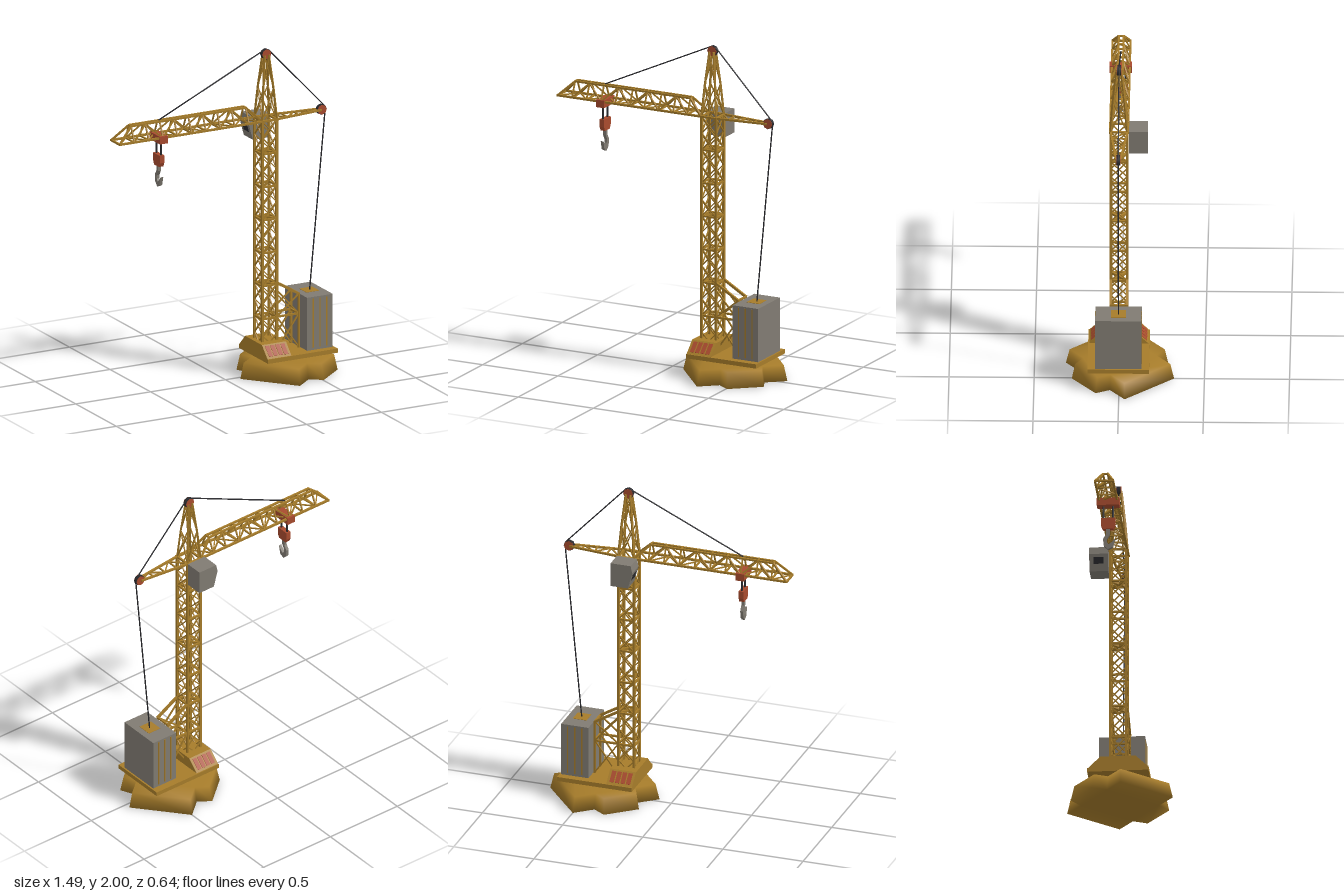
import * as THREE from 'three';
import { mergeGeometries, mergeVertices } from 'three/addons/utils/BufferGeometryUtils.js';

const flat = (name, color) => {
  const m = new THREE.MeshStandardMaterial({ color });
  m.name = name;
  return m;
};

export function createModel() {
  const yellow = flat('ochre paint', 0xa67c2a);
  const grey = flat('grey panel', 0x807b72);
  const red = flat('rust red', 0xa84b2e);
  const dark = flat('dark steel', 0x2a2a2e);
  const model = new THREE.Group();
  model.name = 'towerCrane';

  const V = (x, y, z) => new THREE.Vector3(x, y, z);
  const add = (name, mat, ...geos) => {
    const list = geos.flat().map(g => (g.index ? g.toNonIndexed() : g));
    const mesh = new THREE.Mesh(mergeGeometries(list), mat);
    mesh.name = name;
    model.add(mesh);
  };
  // square bar between two points
  const bar = (a, b, w = 0.008) => {
    const g = new THREE.BoxGeometry(w, w, a.distanceTo(b) + w * 0.5);
    const m = new THREE.Matrix4().lookAt(a, b, V(0, 1, 0));
    return g.applyMatrix4(m.setPosition(a.clone().add(b).multiplyScalar(0.5)));
  };
  const cross = (a, b, c, d, w) => [bar(a, c, w), bar(b, d, w)];
  // box given by its limits
  const box = (x0, x1, y0, y1, z0, z1) =>
    new THREE.BoxGeometry(x1 - x0, y1 - y0, z1 - z0)
      .translate((x0 + x1) / 2, (y0 + y1) / 2, (z0 + z1) / 2);
  const extrude = (pts, depth) => new THREE.ExtrudeGeometry(
    new THREE.Shape(pts.map(p => new THREE.Vector2(...p))),
    { depth, bevelEnabled: false });
  // profile of [z, y] points swept along x
  const prismX = (pts, x0, x1) =>
    extrude(pts.map(([z, y]) => [-z, y]), x1 - x0).rotateY(Math.PI / 2).translate(x0, 0, 0);
  const rod = (a, b, r = 0.004) =>
    new THREE.TubeGeometry(new THREE.LineCurve3(a, b), 1, r, 6);

  const cx = 0.266, cz = 0.004, h = 0.048;
  const zs = [cz - h, cz + h];

  // cross-shaped foot, tapering upward, with soft shading
  const half = [[0.276, -0.11], [0.276, 0.11], [0.188, 0.135], [0.188, 0.272], [-0.188, 0.272], [-0.188, 0.135]];
  let foot = extrude([...half, ...half.map(([a, b]) => [-a, -b])], 0.095).rotateX(-Math.PI / 2);
  const fp = foot.attributes.position;
  for (let i = 0; i < fp.count; i++) {
    const s = fp.getY(i) > 0.05 ? 0.93 : 1;
    fp.setX(i, fp.getX(i) * s);
    fp.setZ(i, fp.getZ(i) * s);
  }
  foot.deleteAttribute('normal');
  foot.deleteAttribute('uv');
  foot = mergeVertices(foot);
  foot.computeVertexNormals();
  add('foot', yellow, foot.rotateY(-Math.atan2(0.764, 0.644)).translate(0.413, 0, -0.003));

  // turntable platform and sloped mast seat
  add('platform', yellow, box(0.185, 0.65, 0.12, 0.146, -0.177, 0.185));
  add('mastSeat', yellow, prismX(
    [[-0.17, 0.146], [0.178, 0.146], [0.108, 0.215], [-0.1, 0.215]], 0.185, 0.345));
  // red striped panels on both slopes
  for (const s of [1, -1]) {
    const stripes = [0, 1, 2, 3].map(k => new THREE.BoxGeometry(0.026, 0.004, 0.072)
      .rotateX(s * Math.PI / 4).translate(0.214 + k * 0.034, 0.182, cz + s * 0.1385));
    add(s > 0 ? 'frontSeatStripes' : 'backSeatStripes', red, stripes);
  }

  // counterweight with upright strips
  add('counterweight', grey, box(0.47, 0.64, 0.146, 0.472, -0.132, 0.14));
  add('counterweightTopPlate', yellow, box(0.515, 0.6, 0.47, 0.474, -0.04, 0.048));
  add('counterweightStrips', yellow, [0.51, 0.555, 0.6].map(x =>
    [[0.139, 0.142], [-0.134, -0.131]].map(z => box(x - 0.004, x + 0.004, 0.16, 0.462, ...z))).flat());

  // mast: corner posts, level rings and crossed braces
  const corner = (i, y, r = h) =>
    V(cx + (i === 1 || i === 2 ? r : -r), y, cz + (i > 1 ? r : -r));
  const mast = [], y0 = 0.151, y1 = 1.57, bays = 14, step = (y1 - y0) / bays;
  for (let i = 0; i < 4; i++) {
    const j = (i + 1) % 4;
    mast.push(bar(corner(i, y0), corner(i, y1), 0.014));
    for (let k = 0; k < bays; k++) {
      const a = y0 + k * step, b = a + step;
      mast.push(...cross(corner(i, a), corner(j, a), corner(j, b), corner(i, b), 0.0065));
      if (k % 2) mast.push(bar(corner(i, b), corner(j, b), 0.011));
    }
  }
  // level stiffeners
  for (let k = 4; k < bays; k += 4) {
    const y = y0 + k * step;
    mast.push(...cross(corner(0, y), corner(1, y), corner(2, y), corner(3, y), 0.014));
  }
  add('mast', yellow, mast);

  // tapering tower head
  const levels = [[1.57, 0.049], [1.76, 0.034], [1.96, 0.014]];
  const head = [];
  for (let k = 0; k < 2; k++) {
    const [ya, ra] = levels[k], [yb, rb] = levels[k + 1];
    for (let i = 0; i < 4; i++) {
      const j = (i + 1) % 4;
      head.push(bar(corner(i, ya, ra), corner(i, yb, rb), 0.011));
      head.push(...cross(corner(i, ya, ra), corner(j, ya, ra), corner(j, yb, rb), corner(i, yb, rb), 0.006));
    }
  }
  add('towerHead', yellow, head);

  // mast stay truss beside the counterweight
  const stay = [];
  for (const z of zs) {
    const p = (x, y) => V(x, y, z), l = cx + h, r = 0.461;
    stay.push(bar(p(r, 0.146), p(r, 0.478), 0.012), bar(p(l, 0.563), p(r, 0.476), 0.014),
      bar(p(l, 0.355), p(r, 0.355), 0.011),
      ...cross(p(l, 0.15), p(r, 0.15), p(r, 0.355), p(l, 0.355), 0.008),
      ...cross(p(l, 0.355), p(r, 0.355), p(r, 0.476), p(l, 0.52), 0.008));
  }
  for (const y of [0.355, 0.476]) stay.push(bar(V(0.461, y, zs[0]), V(0.461, y, zs[1]), 0.011));
  add('mastStay', yellow, stay);

  // jib: truss leaning in to a narrow top, with raked ends
  const jib = [], lo = 1.571, hi = 1.66, n = 8, jx = -0.64, dx = 0.0957;
  const jz = [cz - 0.053, cz + 0.053], tip = -0.736, root = 0.217;
  for (const s of [-1, 1]) {
    const b = x => V(x, lo, cz + s * 0.053), t = x => V(x, hi, cz + s * 0.014);
    jib.push(bar(b(tip), b(0.32), 0.012), bar(t(jx), t(jx + n * dx), 0.011),
      bar(b(tip), t(jx), 0.011), bar(t(jx + n * dx), b(root), 0.011));
    for (let k = 0; k <= n; k++) {
      const x = jx + k * dx;
      jib.push(bar(b(x), t(x), 0.008));
      if (k < n) jib.push(k % 2 ? bar(t(x), b(x + dx), 0.008) : bar(b(x), t(x + dx), 0.008));
    }
  }
  for (let k = 0; k <= n; k++) {
    const x = jx + k * dx;
    jib.push(bar(V(x, lo, jz[0]), V(x, lo, jz[1]), 0.009),
      bar(V(x, hi, cz - 0.014), V(x, hi, cz + 0.014), 0.009));
    if (k < n) jib.push(bar(V(x, lo, jz[k % 2]), V(x + dx, lo, jz[1 - k % 2]), 0.007));
  }
  jib.push(bar(V(tip, lo, jz[0]), V(tip, lo, jz[1]), 0.011),
    bar(V(tip, lo, jz[1]), V(jx, lo, jz[0]), 0.007),
    bar(V(0.125, lo, jz[0]), V(root, lo, jz[1]), 0.007));
  add('jib', yellow, jib);

  // rear arm narrowing to its pulley
  const rear = [], rw = t => 0.05 - 0.036 * t, rx = t => 0.31 + 0.32 * t;
  for (const s of [-1, 1])
    rear.push(bar(V(rx(0), lo, cz + s * rw(0)), V(rx(1), lo, cz + s * rw(1)), 0.012));
  for (let k = 0; k < 4; k++) {
    const t = k / 4, u = t + 0.25, d = k % 2 ? 1 : -1;
    rear.push(bar(V(rx(u), lo, cz - rw(u)), V(rx(u), lo, cz + rw(u)), 0.008),
      bar(V(rx(t), lo, cz + d * rw(t)), V(rx(u), lo, cz - d * rw(u)), 0.007));
  }
  add('rearArm', yellow, rear);

  // pulleys: dark wheel with thin red side plates
  const disc = (x, y, z, r, w) =>
    new THREE.CylinderGeometry(r, r, w, 8).rotateX(Math.PI / 2).translate(x, y, z);
  for (const [name, x, y] of [['headPulley', 0.267, 1.967], ['rearPulley', 0.637, lo]]) {
    add(name + 'Wheel', dark, disc(x, y, cz, 0.032, 0.022));
    add(name + 'Plates', red, [-1, 1].map(s => disc(x, y, cz + s * 0.012, 0.03, 0.004)));
  }

  // stay cables
  add('stayCables', dark,
    rod(V(0.257, 1.992, cz), V(-0.45, 1.665, cz)),
    rod(V(0.285, 1.99, cz), V(0.662, 1.587, cz)),
    rod(V(0.664, 1.572, cz), V(0.56, 0.472, cz)));

  // operator cab with sloped nose
  add('cab', grey, extrude([[0.212, 1.43], [0.32, 1.43], [0.32, 1.577], [0.195, 1.577], [0.185, 1.53]], 0.111)
    .translate(0, 0, -0.165));
  add('cabWindow', dark, new THREE.BoxGeometry(0.004, 0.04, 0.06)
    .rotateZ(0.263).translate(0.1955, 1.492, -0.11));

  // trolley, hoist ropes, hook block and hook
  const tx = -0.448;
  add('trolley', red, box(tx - 0.027, tx + 0.027, 1.537, 1.583, -0.062, 0.07));
  add('hoistRopes', dark, [-0.024, 0.032].map(z => rod(V(tx, 1.545, z), V(tx, 1.45, z), 0.006)));
  add('hookBlock', red, prismX(
    [[-0.026, 1.387], [0.034, 1.387], [0.046, 1.412], [0.046, 1.458], [-0.038, 1.458], [-0.038, 1.412]],
    tx - 0.015, tx + 0.015));
  add('hook', grey, prismX(
    [[-0.008, 1.39], [-0.008, 1.355], [-0.027, 1.325], [-0.022, 1.282], [0.002, 1.258], [0.03, 1.272],
      [0.044, 1.325], [0.022, 1.3], [0.006, 1.29], [-0.004, 1.305], [-0.004, 1.325], [0.014, 1.355], [0.014, 1.39]],
    tx - 0.009, tx + 0.009));
  return model;
}
